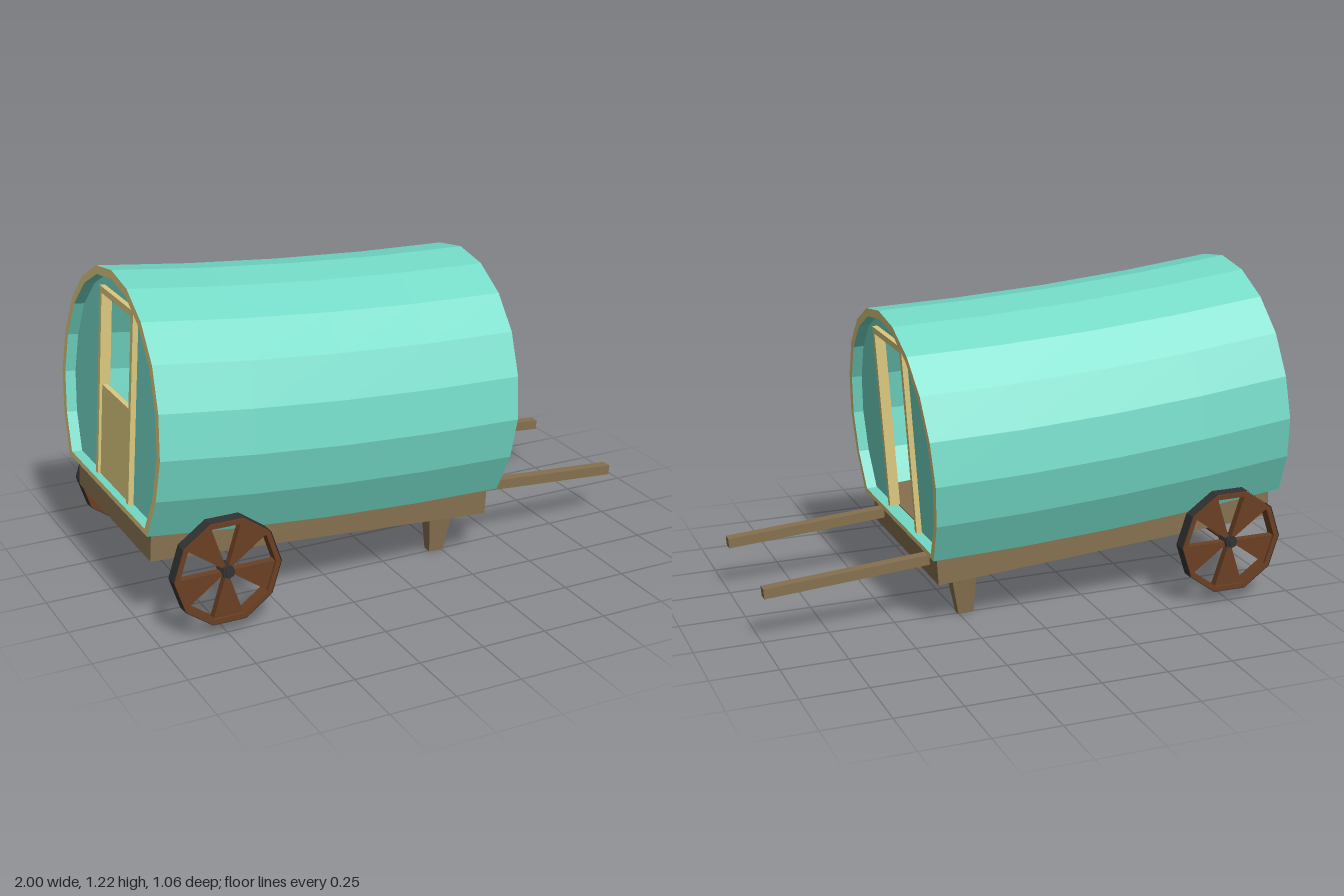
import * as THREE from 'three';

const paint = (color) => new THREE.MeshStandardMaterial({ color, flatShading: true });

export function createModel() {
  const canvas = paint(0x73d9c6), trim = paint(0xdcc97f), timber = paint(0x86714f);
  const wheelWood = paint(0x6b4023), iron = paint(0x333333);
  iron.side = THREE.DoubleSide;

  const model = new THREE.Group();
  model.name = 'wagon';
  // Tilted body frame: x runs along the wagon from its back end, y up from the cover's base
  const body = new THREE.Group();
  body.name = 'body';
  body.position.set(-1, 0.385, 0);
  body.rotation.z = -0.0712;
  model.add(body);
  const LENGTH = 1.404;

  const add = (parent, name, geometry, material) => {
    const mesh = new THREE.Mesh(geometry, material);
    mesh.name = name;
    parent.add(mesh);
    return mesh;
  };
  // Box given by its extents
  const box = (name, x0, x1, y0, y1, z0, z1, material) => {
    const mesh = add(body, name, new THREE.BoxGeometry(x1 - x0, y1 - y0, z1 - z0), material);
    mesh.position.set((x0 + x1) / 2, (y0 + y1) / 2, (z0 + z1) / 2);
    return mesh;
  };
  // Half profile mirrored into a closed loop, bottom corner to bottom corner
  const mirrored = (half) => [...half, ...half.slice(0, -1).reverse().map(([z, y]) => [-z, y])]
    .map(([z, y]) => new THREE.Vector2(z, y));
  const outer = mirrored([[0.41, 0], [0.48, 0.155], [0.507, 0.312], [0.48, 0.47],
    [0.41, 0.62], [0.297, 0.736], [0.155, 0.812], [0, 0.837]]);
  const inner = mirrored([[0.385, 0.02], [0.45, 0.157], [0.475, 0.312], [0.45, 0.465],
    [0.385, 0.604], [0.277, 0.713], [0.148, 0.782], [0, 0.805]]);
  const extrudeAlong = (shape, depth, steps = 1) =>
    new THREE.ExtrudeGeometry(shape, { depth, steps, bevelEnabled: false }).rotateY(Math.PI / 2);

  // Barrel cover with pale rims, sagging a little along its length
  const coverShape = new THREE.Shape(outer);
  coverShape.holes.push(new THREE.Path(inner));
  const cover = extrudeAlong(coverShape, LENGTH, 4);
  const pos = cover.attributes.position;
  for (let i = 0; i < pos.count; i++) {
    const t = (pos.getX(i) / LENGTH) * 2 - 1;
    pos.setY(i, pos.getY(i) - 0.02 * (1 - t * t));
  }
  cover.computeVertexNormals();
  add(body, 'cover', cover, [trim, canvas]);

  // End walls with doorway notch and door frame
  const wallShape = new THREE.Shape([...inner,
    ...[[-0.155, 0.02], [-0.155, 0.72], [0.155, 0.72], [0.155, 0.02]].map(([z, y]) => new THREE.Vector2(z, y))]);
  for (const [end, x, f] of [['back', 0, 1], ['front', LENGTH, -1]]) {
    const wall = add(body, end + 'Wall', extrudeAlong(wallShape, 0.015), canvas);
    wall.position.x = x + f * 0.0475 - 0.0075;
    const a = Math.min(x + f * 0.02, x + f * 0.06), b = a + 0.04;
    for (const s of [-1, 1]) {
      box(end + 'DoorPost', a, b, 0.015, 0.735, s * 0.159 - 0.011, s * 0.159 + 0.011, trim);
    }
    box(end + 'DoorLintel', a, b, 0.711, 0.735, -0.148, 0.148, trim);
  }
  box('halfDoor', 0.03, 0.05, 0.015, 0.365, -0.148, 0.148, trim);

  // Floor and chassis
  box('floor', 0.055, LENGTH - 0.055, 0.001, 0.022, -0.38, 0.38, timber);
  box('chassis', 0.028, 1.381, -0.112, 0, -0.376, 0.376, timber);

  // Shafts and tapered front legs
  for (const s of [-1, 1]) {
    box('shaft', 1.37, 2.004, -0.062, -0.024, s * 0.27 - 0.02, s * 0.27 + 0.02, timber);
    const leg = box('leg', 1.196, 1.301, -0.295, -0.11, s * 0.245 - 0.036, s * 0.245 + 0.036, timber);
    const p = leg.geometry.attributes.position;
    for (let i = 0; i < p.count; i++) {
      if (p.getY(i) < 0) p.setXYZ(i, p.getX(i) * 0.56, p.getY(i), p.getZ(i) * 0.52);
    }
  }

  // Ten-sided wheels: five solid wedges alternate with five gaps
  const corner = (i, r) => new THREE.Vector2(r * Math.cos(i * Math.PI / 5), r * Math.sin(i * Math.PI / 5));
  const ring = (r) => Array.from({ length: 10 }, (_, i) => corner(i, r));
  const slab = (shape, depth) =>
    new THREE.ExtrudeGeometry(shape, { depth, bevelEnabled: false }).translate(0, 0, -depth / 2);
  const drum = (r, length, sides, open = false) => new THREE.CylinderGeometry(r, r, length, sides, 1, open)
    .rotateY(Math.PI / 2).rotateX(Math.PI / 2);
  const rimShape = new THREE.Shape(ring(0.201));
  rimShape.holes.push(new THREE.Path(ring(0.182)));
  for (const s of [-1, 1]) {
    const wheel = new THREE.Group();
    wheel.name = s > 0 ? 'frontSideWheel' : 'backSideWheel';
    wheel.position.set(-0.745, 0.24, s * 0.49);
    add(wheel, 'rim', slab(rimShape, 0.05), wheelWood);
    add(wheel, 'tyre', drum(0.204, 0.05, 10, true), iron);
    for (let k = 0; k < 5; k++) {
      const i = 2 * k + 1;
      const wedge = new THREE.Shape([new THREE.Vector2(0, 0), corner(i, 0.185), corner(i + 1, 0.185)]);
      add(wheel, 'spoke', slab(wedge, 0.03), wheelWood);
    }
    add(wheel, 'hub', drum(0.024, 0.06, 8), iron);
    add(wheel, 'hubCap', drum(0.014, 0.08, 8), iron);
    model.add(wheel);
  }
  add(model, 'axle', drum(0.013, 0.96, 8), wheelWood).position.set(-0.745, 0.24, 0);

  return model;
}
